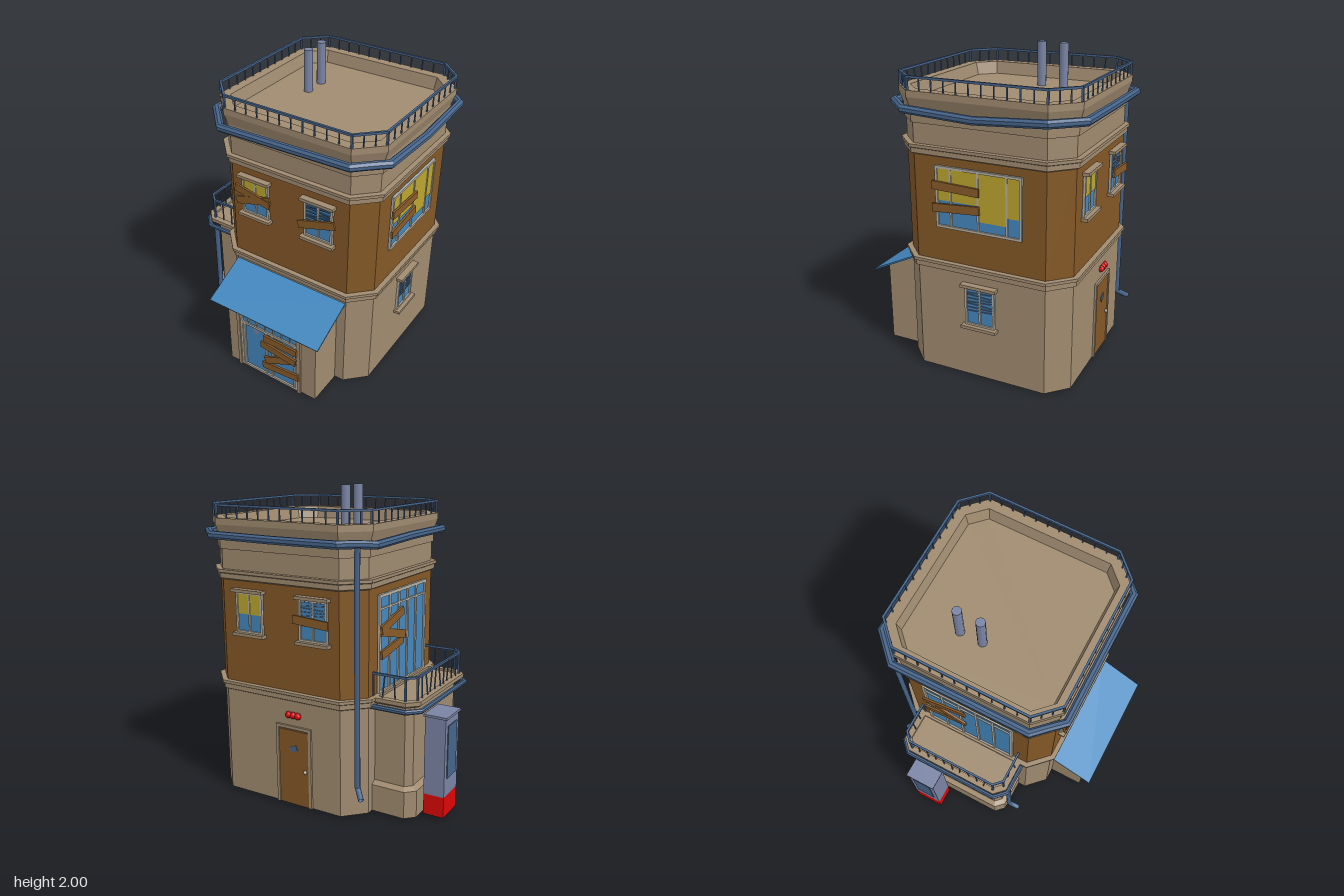
import * as THREE from 'three';

const paint = (name, color, both = false) => {
  const m = new THREE.MeshStandardMaterial({ color, side: both ? THREE.DoubleSide : THREE.FrontSide });
  m.name = name;
  return m;
};

export function createModel() {
  const tan = paint('plaster', 0xa08b70, true), brown = paint('brownWall', 0x845827, true);
  const wood = paint('plankWood', 0x895b29), blue = paint('glassBlue', 0x4488bf, true);
  const yellow = paint('yellowShade', 0xbca62e), metal = paint('darkBlueMetal', 0x46648a, true);
  const grey = paint('greyMetal', 0x7a84a4), red = paint('red', 0xdc0606), frame = paint('frame', 0xb6b0a4);

  const model = new THREE.Group();
  model.name = 'shopHouse';

  const add = (name, geo, mat, parent = model) => {
    const m = new THREE.Mesh(geo, mat);
    m.name = name;
    parent.add(m);
    return m;
  };
  const box = (name, mat, w, h, d, x, y, z, parent = model) => {
    const m = add(name, new THREE.BoxGeometry(w, h, d), mat, parent);
    m.position.set(x, y, z);
    return m;
  };
  const flat = (pos) => {
    const g = new THREE.BufferGeometry();
    g.setAttribute('position', new THREE.Float32BufferAttribute(pos, 3));
    g.computeVertexNormals();
    return g;
  };

  // Plan outlines, grown outward by o, counterclockwise from above
  const tower = (o) => {
    const H = 0.55 + o, S = 0.425 + 0.414 * o;
    return [[-S, H], [S, H], [H, S], [H, -S], [S, -H], [-S, -H], [-H, -S], [-H, S]]
      .map(([x, z]) => [x + 0.18, z - 0.11]);
  };
  const towerWithMidpoints = (o) => tower(o).flatMap((a, i, all) => {
    const b = all[(i + 1) % all.length];
    return [a, [(a[0] + b[0]) / 2, (a[1] + b[1]) / 2]];
  });
  const wing = (o) => {
    const X = -0.615 - o, Z = 0.34 + o, c = 0.04 + 0.5 * o;
    return [[-0.37, -Z], [X + c, -Z], [X, c - Z], [X, Z - c], [X + c, Z], [-0.37, Z]]
      .map(([x, z]) => [x, z - 0.115]);
  };
  // Sweep an (offset, height) profile around an outline
  const sweep = (name, mat, plan, closed, profile, sag = []) => {
    const pos = [];
    for (let k = 0; k + 1 < profile.length; k++) {
      const [lo, hi] = [profile[k], profile[k + 1]].map(([o, y]) =>
        plan(o).map(([x, z], i) => [x, y + (sag[i] || 0), z]));
      const n = lo.length;
      for (let i = 0; i < (closed ? n : n - 1); i++) {
        const j = (i + 1) % n;
        pos.push(...lo[i], ...lo[j], ...hi[j], ...lo[i], ...hi[j], ...hi[i]);
      }
    }
    return add(name, flat(pos), mat);
  };
  const deck = (name, mat, plan, o, y) => {
    const p = plan(o), pos = [];
    for (let i = 1; i + 1 < p.length; i++)
      for (const k of [0, i, i + 1]) pos.push(p[k][0], y, p[k][1]);
    return add(name, flat(pos), mat);
  };
  const square = (o, y, r) => [[o - r, y - r], [o + r, y - r], [o + r, y + r], [o - r, y + r], [o - r, y - r]];
  const round = (o, y, r) => Array.from({ length: 9 }, (_, i) => {
    const a = (i + 0.5) * Math.PI / 4;
    return [o + r * Math.cos(a), y + r * Math.sin(a)];
  });
  const railing = (name, plan, closed, o, y0, y1, gap, lean) => {
    sweep(name + 'TopRail', metal, plan, closed, square(o, y1 - 0.007, 0.007));
    const p = plan(o), n = p.length;
    for (let i = 0; i < (closed ? n : n - 1); i++) {
      const a = p[i], b = p[(i + 1) % n];
      const count = Math.max(1, Math.round(Math.hypot(b[0] - a[0], b[1] - a[1]) / gap));
      for (let k = 0; k < count; k++) {
        const t = k / count, r = k ? 0.007 : 0.012;
        const post = box(name + 'Post', metal, r, y1 - y0, r,
          a[0] + (b[0] - a[0]) * t, (y0 + y1) / 2, a[1] + (b[1] - a[1]) * t);
        if (k) post.rotation.set(lean * Math.sin(k * 2.3), 0, lean * Math.sin(k * 1.7 + i));
      }
    }
  };

  // Tower storeys, cornices, parapet and roof
  sweep('groundFloorWall', tan, tower, true, [[0, 0.01], [0, 0.71]]);
  sweep('upperFloorWall', brown, tower, true, [[0, 0.755], [0, 1.43]]);
  for (const y of [0.7, 1.42])
    sweep('cornice', tan, tower, true, [[0, y], [0.02, y + 0.01], [0.02, y + 0.04], [0.032, y + 0.046], [0.032, y + 0.065], [0, y + 0.065]]);
  sweep('parapet', tan, tower, true, [[0, 1.48], [0, 1.61], [0.01, 1.61], [0.012, 1.69],
    [0.035, 1.76], [0.035, 1.8], [-0.03, 1.8], [-0.05, 1.72]]);
  deck('roofFloor', tan, tower, -0.05, 1.72);
  sweep('roofGutter', metal, towerWithMidpoints, true, round(0.06, 1.693, 0.026),
    [-0.014, -0.004, 0.008, 0.008, 0.005, -0.018, 0.01, 0.008, 0.006, 0, 0, 0, -0.008, 0.004, 0.004, 0]);
  railing('roofRail', tower, true, 0.025, 1.8, 1.885, 0.078, 0);
  for (const z of [-0.15, -0.3])
    add('chimney', new THREE.CylinderGeometry(0.029, 0.029, 0.29, 12), grey).position.set(-0.075, 1.855, z);

  // Side wing with balcony
  sweep('wingWall', tan, wing, false, [[0.035, 0.01], [0.035, 0.185], [0, 0.205], [0, 0.71],
    [0.035, 0.725], [0.055, 0.74], [0.055, 0.765], [0.015, 0.765], [0.015, 0.75]]);
  deck('balconyFloor', tan, wing, 0.015, 0.75);
  sweep('balconyGutter', metal, wing, false, round(0.062, 0.71, 0.016));
  railing('balconyRail', wing, false, 0.027, 0.765, 0.915, 0.065, 0.08);

  // Downpipes
  const pipe = (name, pts) => add(name, new THREE.TubeGeometry(new THREE.CatmullRomCurve3(
    pts.map((p) => new THREE.Vector3(...p)), false, 'catmullrom', 0.2), 40, 0.018, 8), metal);
  pipe('frontDownpipe', [[-0.565, 0.7, 0.275], [-0.565, 0.65, 0.275], [-0.565, 0.18, 0.28], [-0.56, 0.13, 0.3], [-0.555, 0.1, 0.35]]);
  pipe('backDownpipe', [[-0.36, 1.68, -0.645], [-0.35, 1.6, -0.635], [-0.35, 0.26, -0.635], [-0.36, 0.22, -0.645], [-0.41, 0.175, -0.695]]);

  // Places a group on a wall; side is quarter turns from the front
  const onWall = (name, side, x, y, z) => {
    const g = new THREE.Group();
    g.name = name;
    g.position.set(x, y, z);
    g.rotation.y = side * Math.PI / 2;
    model.add(g);
    return g;
  };
  const plank = (g, x, y, len, deg, z = 0.04) => {
    const m = box('plank', wood, len, 0.052, 0.014, x, y, z, g);
    m.rotation.set(0, deg * 0.002, THREE.MathUtils.degToRad(deg));
  };
  // Glass pane with frame bars; cols and rows are bar positions from the centre
  const glazing = (g, w, h, cols, rows = [], bar = 0.014) => {
    box('glass', blue, w, h, 0.004, 0, 0, 0.003, g);
    for (const s of [-1, 1]) {
      box('frameSide', frame, bar, h, 0.016, s * (w - bar) / 2, 0, 0.008, g);
      box('frameRail', frame, w, bar, 0.016, 0, s * (h - bar) / 2, 0.008, g);
    }
    for (const x of cols) box('mullion', frame, bar * 0.8, h, 0.014, x, 0, 0.007, g);
    for (const [y, t] of rows) box('crossbar', frame, w, t, 0.014, 0, y, 0.007, g);
  };
  const shade = (g, x0, x1, y0, y1) =>
    box('yellowShade', yellow, x1 - x0, y1 - y0, 0.004, (x0 + x1) / 2, (y0 + y1) / 2, 0.008, g);

  // Small windows with sills, shade or broken blinds, and planks
  const smallWindow = (side, x, y, z, kind, planks) => {
    const g = onWall('smallWindow', side, x, y, z);
    glazing(g, 0.2, 0.26, [0]);
    for (const s of [-1, 1]) box('sill', tan, 0.235, 0.02, 0.042, 0, s * 0.138, 0.021, g);
    if (kind === 'shade') shade(g, -0.086, 0.086, -0.01, 0.116);
    else for (let k = 0; k < 8; k++)
      box('blindSlat', metal, 0.172, 0.008, 0.006, 0, 0.11 - k * 0.02, 0.008, g).rotation.z = 0.06 * Math.sin(k * 2.1);
    for (const [px, py, len, deg] of planks) plank(g, px, py, len, deg);
  };
  smallWindow(0, -0.065, 1.225, 0.44, 'shade', [[0, 0.03, 0.27, -11], [0.005, 0.002, 0.26, 15]]);
  smallWindow(0, 0.4, 1.225, 0.44, 'blinds', [[0.005, 0, 0.26, 16]]);
  smallWindow(2, 0.4, 1.225, -0.66, 'shade', []);
  smallWindow(2, -0.07, 1.225, -0.66, 'blinds', [[0, 0, 0.25, -4]]);
  smallWindow(1, 0.73, 0.5, -0.11, 'blinds', []);

  // Wide side window
  const wide = onWall('wideWindow', 1, 0.73, 1.178, -0.11);
  glazing(wide, 0.56, 0.385, [-0.18, 0, 0.185], [], 0.016);
  shade(wide, -0.266, 0, -0.02, 0.178);
  shade(wide, 0, 0.185, -0.118, 0.178);
  shade(wide, 0.185, 0.266, -0.065, 0.178);
  plank(wide, -0.14, 0.07, 0.31, -2, 0.024);
  plank(wide, -0.14, -0.055, 0.31, 4, 0.024);

  // Tall balcony window
  const tall = onWall('balconyWindow', 3, -0.37, 1.065, -0.11);
  glazing(tall, 0.64, 0.62, [-0.18, -0.06, 0.06, 0.18], [[0.22, 0.012]], 0.02);
  plank(tall, -0.17, 0.13, 0.31, 13, 0.024);
  plank(tall, -0.17, 0.05, 0.31, -14, 0.028);
  plank(tall, -0.17, -0.04, 0.3, 8, 0.024);

  // Shop entrance: sloped side walls, surround and lintel
  const cheek = new THREE.Shape([[0.44, 0.005], [0.68, 0.005], [0.68, 0.55], [0.44, 0.665]].map((p) => new THREE.Vector2(...p)));
  for (const [x0, x1] of [[-0.15, -0.055], [0.415, 0.54]]) {
    const g = new THREE.ExtrudeGeometry(cheek, { depth: x1 - x0, bevelEnabled: false });
    g.rotateY(-Math.PI / 2);
    add('entranceWall', g, tan).position.x = x1;
  }
  for (const x of [-0.06, 0.42]) box('doorJamb', tan, 0.024, 0.51, 0.03, x, 0.255, 0.68);
  box('lintel', tan, 0.5, 0.045, 0.06, 0.18, 0.53, 0.655);

  const shop = onWall('shopDoor', 0, 0.18, 0.255, 0.67);
  glazing(shop, 0.46, 0.5, [], [[0.135, 0.018]], 0.018);
  for (const x of [-0.2, -0.025, 0.025, 0.2]) box('doorStile', frame, 0.014, 0.38, 0.014, x, -0.06, 0.007, shop);
  for (let k = 1; k < 7; k++) box('transomBar', frame, 0.009, 0.1, 0.012, -0.23 + k * 0.0657, 0.19, 0.006, shop);
  add('doorSticker', new THREE.CircleGeometry(0.026, 12), grey, shop).position.set(-0.105, 0.105, 0.008);
  plank(shop, 0.105, 0.107, 0.255, -1, 0.034);
  plank(shop, 0.095, 0.043, 0.275, -6, 0.042);
  plank(shop, 0.093, -0.032, 0.235, 24, 0.03);
  plank(shop, 0.105, -0.115, 0.28, 5, 0.036);

  const awning = box('awning', blue, 0.84, 0.01, 0.347, 0.179, 0.6, 0.594);
  awning.rotation.x = Math.atan2(0.15, 0.31);

  // Back door with lamp
  const back = onWall('backDoor', 2, 0.09, 0.27, -0.66);
  box('doorLeaf', brown, 0.22, 0.5, 0.008, 0, -0.01, 0.004, back);
  for (const s of [-1, 1]) box('doorFrameSide', tan, 0.02, 0.52, 0.014, s * 0.12, 0, 0.007, back);
  box('doorFrameTop', tan, 0.26, 0.02, 0.014, 0, 0.26, 0.007, back);
  box('doorPlate', metal, 0.05, 0.035, 0.004, 0, 0.12, 0.01, back).rotation.z = 0.4;
  add('doorKnob', new THREE.SphereGeometry(0.012, 8, 6), frame, back).position.set(0.085, -0.02, 0.014);
  box('lampBase', metal, 0.1, 0.035, 0.012, 0, 0.34, 0.006, back);
  for (const x of [-0.034, 0, 0.034])
    add('lamp', new THREE.SphereGeometry(0.022, 10, 8), red, back).position.set(x, 0.34, 0.006);

  // Free-standing cabinet beside the wing
  box('cabinetBase', red, 0.135, 0.135, 0.195, -0.74, 0.0875, -0.285);
  box('cabinetBody', grey, 0.135, 0.505, 0.195, -0.74, 0.4075, -0.285);
  box('cabinetCap', grey, 0.152, 0.015, 0.21, -0.742, 0.665, -0.285);
  box('cabinetPanel', metal, 0.008, 0.34, 0.13, -0.809, 0.44, -0.285);

  return model;
}
